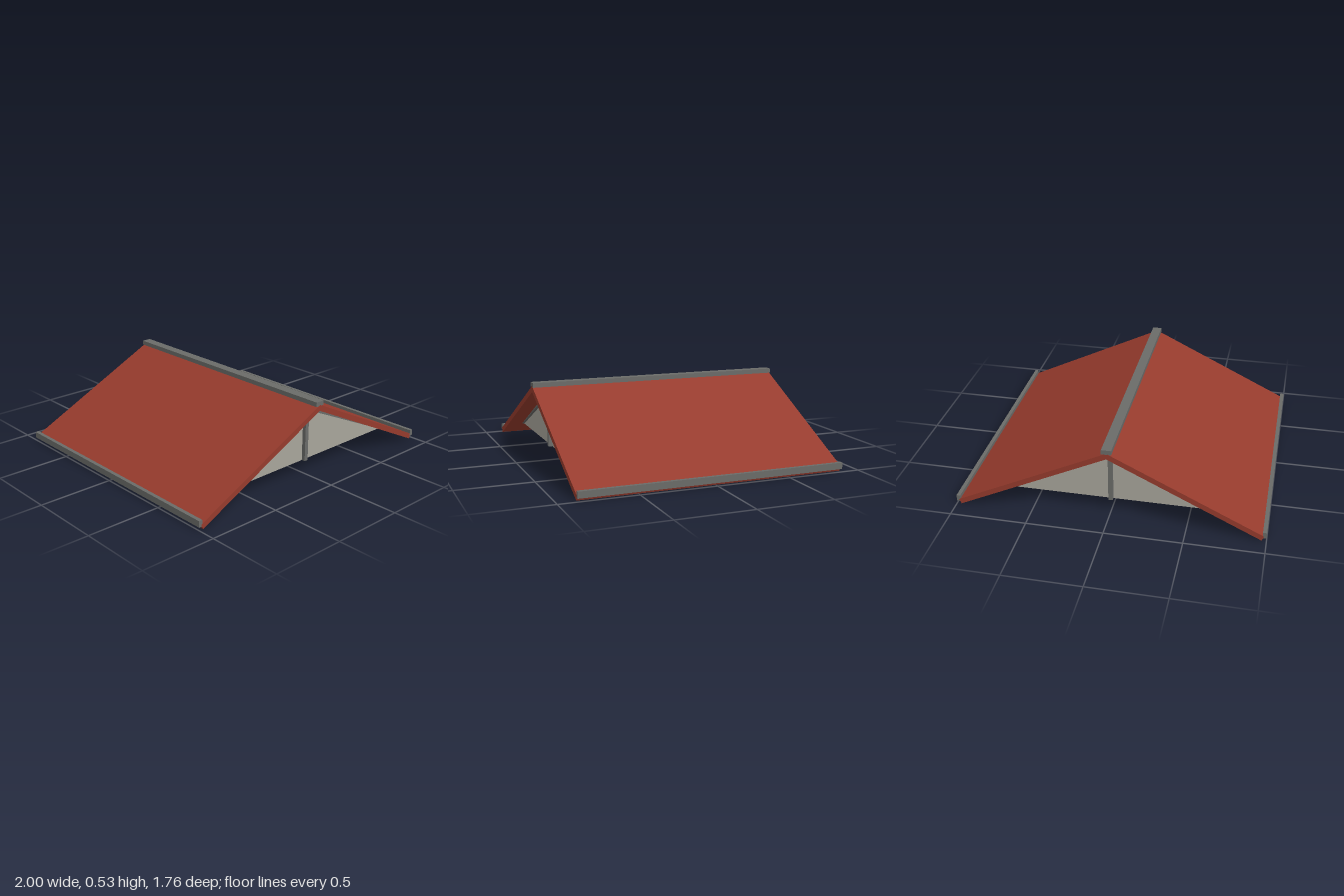
import * as THREE from 'three';

const HALF_LENGTH = 0.88;  // ridge half length along z
const RIDGE_TOP = 0.51, RIDGE_UNDER = 0.47, SLOPE = 0.485;
const WALL_BASE = 0.095, WALL_FRONT = 0.755, WALL_DEPTH = 0.06;

export function createModel() {
  const roofMat = new THREE.MeshStandardMaterial({ color: 0x963b2d });
  roofMat.name = 'red roofing';
  const wallMat = new THREE.MeshStandardMaterial({ color: 0xa8a59b });
  wallMat.name = 'pale gable';
  const trimMat = new THREE.MeshStandardMaterial({ color: 0x6a6b68 });
  trimMat.name = 'grey trim';

  const model = new THREE.Group();
  model.name = 'gableRoof';

  const add = (name, geometry, material, x, y, z) => {
    const mesh = new THREE.Mesh(geometry, material);
    mesh.name = name;
    mesh.position.set(x, y, z);
    model.add(mesh);
  };
  // Outline in x and y, extruded along z and centred on the given z
  const prism = (name, points, depth, material, z = 0) => {
    const shape = new THREE.Shape(points.map(([x, y]) => new THREE.Vector2(x, y)));
    const geometry = new THREE.ExtrudeGeometry(shape, { depth, bevelEnabled: false });
    add(name, geometry, material, 0, 0, z - depth / 2);
  };

  // Sloping slabs and eave gutters
  for (const [side, s] of [['left', 1], ['right', -1]]) {
    prism(side + 'RoofSlab', [
      [0, RIDGE_UNDER], [s * 0.97, 0], [s * 0.985, RIDGE_TOP - SLOPE * 0.985], [0, RIDGE_TOP],
    ], HALF_LENGTH * 2, roofMat);
    add(side + 'Gutter', new THREE.BoxGeometry(0.025, 0.042, HALF_LENGTH * 2), trimMat, s * 0.9875, 0.04, 0);
  }

  // Ridge cap
  add('ridgeCap', new THREE.BoxGeometry(0.064, 0.03, HALF_LENGTH * 2), trimMat, 0, 0.518, 0);

  // Gable wall, king post and tapering rafters at both ends
  const corner = (RIDGE_UNDER - WALL_BASE) / SLOPE;
  for (const [end, e] of [['front', 1], ['back', -1]]) {
    prism(end + 'Gable', [[-corner, WALL_BASE], [corner, WALL_BASE], [0, RIDGE_UNDER]],
      WALL_DEPTH, wallMat, e * (WALL_FRONT - WALL_DEPTH / 2));
    add(end + 'Post', new THREE.BoxGeometry(0.028, 0.365, 0.03), trimMat, 0, WALL_BASE + 0.1825, e * (WALL_FRONT + 0.01));
    for (const [side, s] of [['Left', 1], ['Right', -1]]) {
      prism(end + side + 'Rafter', [
        [0, 0.446], [s * corner, WALL_BASE], [0, RIDGE_UNDER],
      ], 0.02, trimMat, e * (WALL_FRONT + 0.009));
    }
  }
  return model;
}
